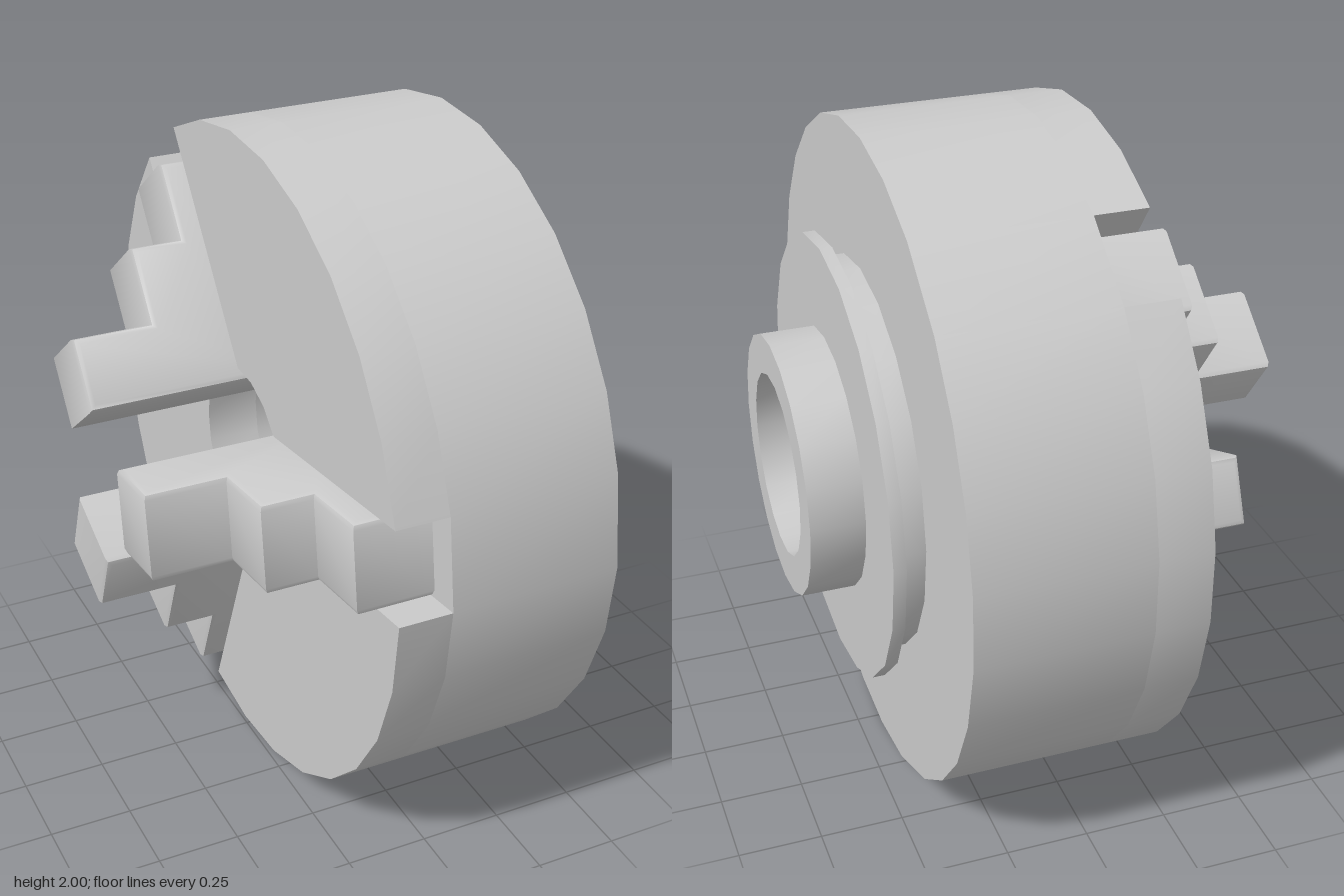
import * as THREE from 'three';
import { toCreasedNormals } from 'three/addons/utils/BufferGeometryUtils.js';

const BODY_R = 1, BORE_R = 0.275, SLOT_HALF = 0.138, JAW_WIDTH = 0.265;
const FRONT_X = -0.24, SLOT_FLOOR_X = -0.08, BACK_X = 0.43;
const JAW_ANGLES = [53, 173, 293].map(THREE.MathUtils.degToRad);
const THIRD = Math.PI * 2 / 3;

const material = new THREE.MeshStandardMaterial({ color: 0xcccccc });

// Points along an arc, both ends included
function arc(r, a0, a1, n) {
  return Array.from({ length: n + 1 }, (_, i) => {
    const a = a0 + (a1 - a0) * i / n;
    return new THREE.Vector2(r * Math.cos(a), r * Math.sin(a));
  });
}

// Half the angle that a slot takes up at a radius
const slotAngle = (r) => Math.asin(SLOT_HALF / r);

// Arc between the slot at angle a and the next one
const sectorArc = (r, a, n) => arc(r, a + slotAngle(r), a + THIRD - slotAngle(r), n);

// Full circle whose corners line up with the slot edges
function slottedCircle(r, sectorSides, gapSides) {
  const s = slotAngle(r);
  return JAW_ANGLES.flatMap((a) => [
    ...arc(r, a - s, a + s, gapSides).slice(0, -1),
    ...sectorArc(r, a, sectorSides).slice(0, -1),
  ]);
}

function part(name, geometry) {
  const mesh = new THREE.Mesh(toCreasedNormals(geometry, 0.6), material);
  mesh.name = name;
  return mesh;
}

// Slab between two stations on the axis
function slab(name, shape, from, to) {
  const geometry = new THREE.ExtrudeGeometry(shape, { depth: to - from, bevelEnabled: false });
  return part(name, geometry.translate(0, 0, from));
}

// Slab with the central bore
function boredDisc(name, outline, from, to) {
  const shape = new THREE.Shape(outline);
  shape.holes.push(new THREE.Path(slottedCircle(BORE_R, 3, 3)));
  return slab(name, shape, from, to);
}

// Stepped jaw: profile of radius against axis position, extruded to its width
function jaw(angle) {
  const bevel = 0.018;
  const profile = [
    [0.2, SLOT_FLOOR_X], [0.2, -0.705], [0.42, -0.705], [0.42, -0.465],
    [0.653, -0.465], [0.653, -0.31], [0.89, -0.31], [0.89, SLOT_FLOOR_X],
  ].map(([r, x]) => new THREE.Vector2(r, x));
  const geometry = new THREE.ExtrudeGeometry(new THREE.Shape(profile), {
    depth: JAW_WIDTH - 2 * bevel, bevelThickness: bevel,
    bevelSize: bevel, bevelOffset: -bevel, bevelSegments: 2,
  });
  geometry.translate(0, 0, bevel - JAW_WIDTH / 2).rotateX(Math.PI / 2);
  const mesh = part('jaw', geometry);
  mesh.rotation.z = angle;
  return mesh;
}

export function createModel() {
  const model = new THREE.Group();
  model.name = 'latheChuck';

  // Everything is built along z, then turned so the axis runs along x
  const chuck = new THREE.Group();
  chuck.name = 'chuck';
  chuck.rotation.y = Math.PI / 2;
  chuck.position.y = 1;
  model.add(chuck);

  // Solid rear part of the body
  chuck.add(boredDisc('body', slottedCircle(BODY_R, 8, 1), SLOT_FLOOR_X, BACK_X));

  // Front face sectors, leaving the slots open, and the jaws in them
  for (const a of JAW_ANGLES) {
    const outline = [...sectorArc(BODY_R, a, 8), ...sectorArc(BORE_R, a, 3).reverse()];
    chuck.add(slab('faceSector', new THREE.Shape(outline), FRONT_X, SLOT_FLOOR_X));
    chuck.add(jaw(a));
  }

  // Rear boss, flange and hub
  const circle = (r, n) => arc(r, 0, Math.PI * 2, n).slice(0, -1);
  chuck.add(boredDisc('rearBoss', circle(0.59, 20), BACK_X, 0.508));
  chuck.add(boredDisc('rearFlange', circle(0.667, 20), 0.508, 0.545));
  chuck.add(boredDisc('rearHub', circle(0.392, 20), 0.545, 0.705));

  return model;
}
